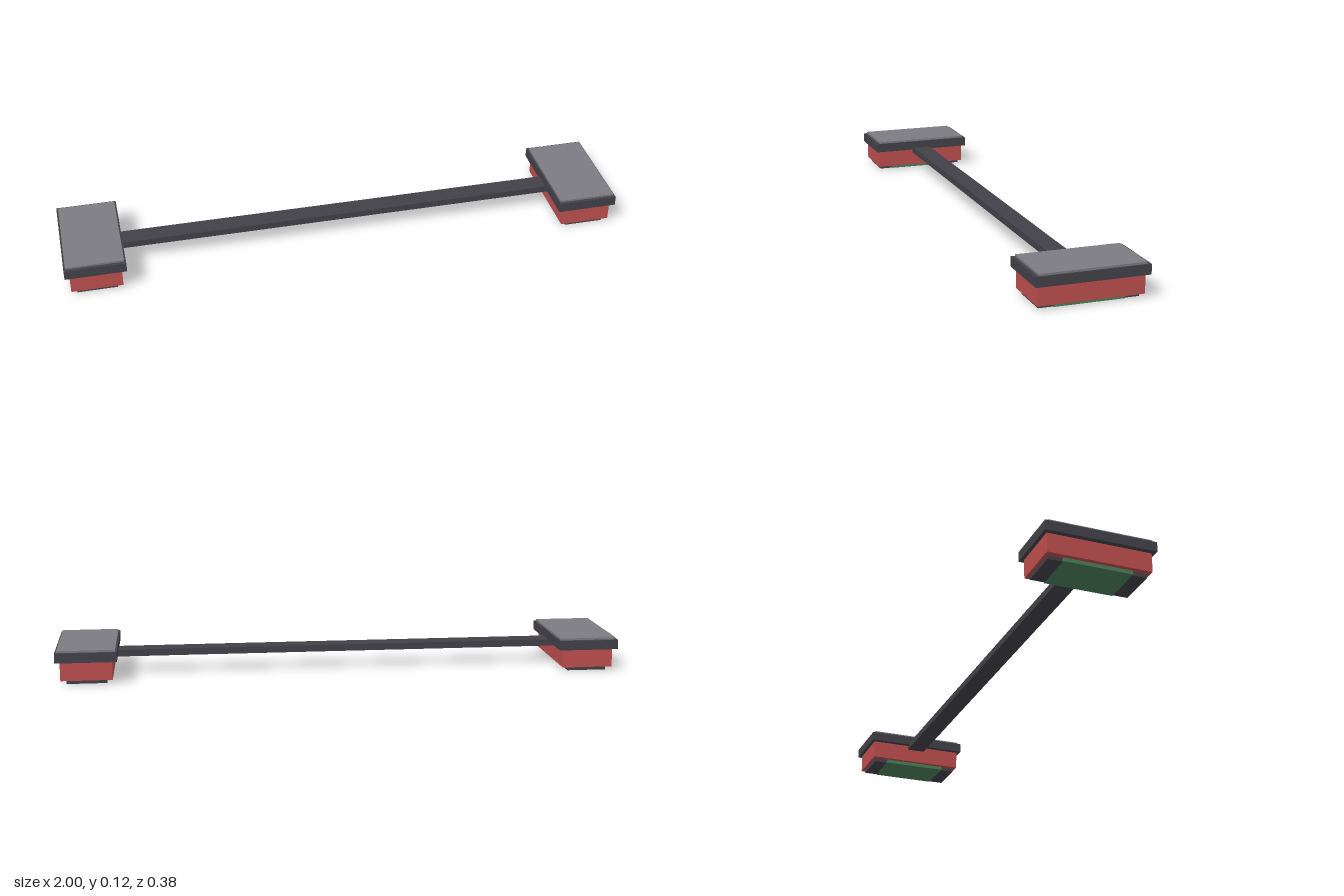
import * as THREE from 'three';

const paint = (name, color) => {
  const m = new THREE.MeshStandardMaterial({ color });
  m.name = name;
  return m;
};

// Box given by its centre x and z, its bottom and top heights, width and depth
function block(name, material, x, z, y0, y1, width, depth) {
  const mesh = new THREE.Mesh(new THREE.BoxGeometry(width, y1 - y0, depth), material);
  mesh.name = name;
  mesh.position.set(x, (y0 + y1) / 2, z);
  return mesh;
}

export function createModel() {
  const dark = paint('charcoal', 0x424148);
  const grey = paint('grey', 0x7d7b82);
  const red = paint('red', 0xbe4e4e);
  const green = paint('green', 0x4a7e58);

  const model = new THREE.Group();
  model.name = 'barWithEndBlocks';

  // Long flat bar joining the two end blocks
  model.add(block('bar', dark, 0, 0, 0.063, 0.087, 1.63, 0.068));

  // Matching end blocks
  for (const side of [-1, 1]) {
    const end = new THREE.Group();
    end.name = side > 0 ? 'leftEnd' : 'rightEnd';
    end.position.x = side * 0.893;
    end.add(
      block('topPlate', grey, 0, 0, 0.113, 0.12, 0.202, 0.356),
      block('cap', dark, 0, 0, 0.079, 0.113, 0.214, 0.38),
      block('body', red, 0, 0, 0.013, 0.079, 0.18, 0.356),
      block('basePlate', green, 0, 0, 0, 0.013, 0.15, 0.236)
    );
    // Dark feet at both ends of the base plate
    for (const z of [-1, 1]) end.add(block('foot', dark, 0, z * 0.143, 0, 0.013, 0.14, 0.05));
    model.add(end);
  }
  return model;
}
